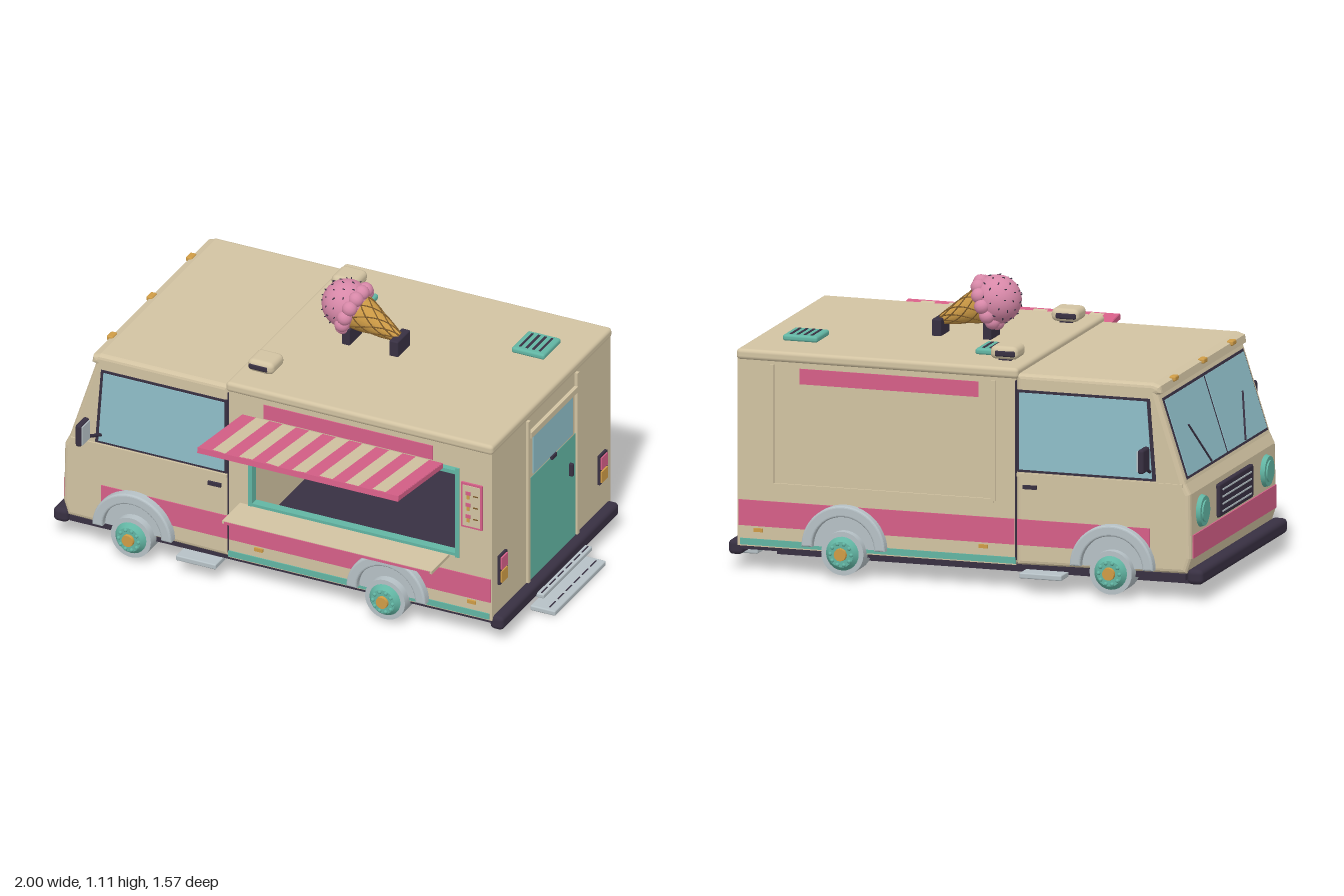
import * as THREE from 'three';
import { RoundedBoxGeometry } from 'three/addons/geometries/RoundedBoxGeometry.js';

const paint = (name, color) => Object.assign(new THREE.MeshStandardMaterial({ color }), { name });
const cream = paint('cream', 0xd2c3a2), pink = paint('pink', 0xd65f88), teal = paint('teal', 0x62b5a3),
  dark = paint('dark plum', 0x383042), grey = paint('light grey', 0xb6c1c6), glass = paint('window blue', 0x8fbfc9),
  amber = paint('amber', 0xcf9c46), brown = paint('waffle brown', 0x7d5a2a), scoopPink = paint('scoop pink', 0xd788a8);
const W = 0.51; // half width of the body

export function createModel() {
  const root = new THREE.Group();
  const van = new THREE.Group();
  van.name = 'van';
  van.position.z = -0.11;
  root.add(van);

  const add = (name, geo, mat, x = 0, y = 0, z = 0, parent = van) => {
    const m = new THREE.Mesh(geo, mat);
    m.name = name;
    m.position.set(x, y, z);
    parent.add(m);
    return m;
  };
  // Box given by its limits, optionally rounded
  const box = (name, mat, x0, x1, y0, y1, z0, z1, r = 0, parent = van) => {
    const s = [x1 - x0, y1 - y0, z1 - z0];
    const g = r ? new RoundedBoxGeometry(...s, 2, r) : new THREE.BoxGeometry(...s);
    return add(name, g, mat, (x0 + x1) / 2, (y0 + y1) / 2, (z0 + z1) / 2, parent);
  };
  const poly = (pts) => new THREE.Shape(pts.map(([x, y]) => new THREE.Vector2(x, y)));
  // Shape in x/y, extruded and centred on z
  const slab = (name, mat, shape, depth, z, bevel = 0) => {
    const g = new THREE.ExtrudeGeometry(shape, {
      depth: depth - 2 * bevel, bevelEnabled: bevel > 0, bevelSize: bevel, bevelThickness: bevel,
      bevelOffset: -bevel, bevelSegments: 3, curveSegments: 24,
    });
    g.translate(0, 0, -depth / 2 + bevel);
    return add(name, g, mat, 0, 0, z);
  };
  const rod = (name, mat, a, b, r, parent = van) => {
    const p = new THREE.Vector3(...a), q = new THREE.Vector3(...b);
    const m = add(name, new THREE.CylinderGeometry(r, r, p.distanceTo(q), 8), mat, 0, 0, 0, parent);
    m.position.copy(p).add(q).multiplyScalar(0.5);
    m.quaternion.setFromUnitVectors(new THREE.Vector3(0, 1, 0), q.sub(p).normalize());
    return m;
  };

  // Cab
  slab('cab', cream, poly([[-0.25, 0.1], [-0.25, 0.845], [-0.8, 0.845], [-0.83, 0.835], [-0.835, 0.805],
    [-0.82, 0.8], [-0.93, 0.46], [-0.95, 0.42], [-0.955, 0.17], [-0.935, 0.11]]), 2 * W, 0, 0.018);

  // Cargo body: one wall has the serving hatch
  const wall = poly([[-0.25, 0.1], [0.87, 0.1], [0.87, 0.83], [-0.25, 0.83]]);
  wall.holes.push(poly([[-0.16, 0.345], [-0.16, 0.735], [0.73, 0.735], [0.73, 0.345]]));
  slab('hatchWall', cream, wall, 0.03, W - 0.015);
  box('plainWall', cream, -0.25, 0.87, 0.1, 0.83, -W, -W + 0.03);
  box('rearWall', cream, 0.84, 0.87, 0.1, 0.83, -W, W);
  box('roof', cream, -0.26, 0.875, 0.825, 0.867, -W - 0.008, W + 0.008, 0.015);
  box('floor', dark, -0.93, 0.86, 0.085, 0.108, -0.5, 0.5);

  // Both flanks
  for (const s of [1, -1]) {
    const strip = (name, mat, x0, x1, y0, y1, t = 0.004, z = W) =>
      box(name, mat, x0, x1, y0, y1, s * z - t, s * z + t);
    strip('cabStripe', pink, -0.79, -0.255, 0.18, 0.28);
    strip('sideStripe', pink, -0.245, 0.865, 0.18, 0.28);
    strip('tealSkirt', teal, -0.25, 0.86, 0.105, 0.13);
    strip('upperStripe', pink, -0.1, 0.62, 0.745, 0.805);
    strip('windowMoulding', cream, -0.92, -0.255, 0.447, 0.46, 0.006);
    strip('doorSeam', dark, -0.253, -0.247, 0.12, 0.82, 0.003);
    strip('doorHandle', dark, -0.335, -0.28, 0.4, 0.415, 0.01);
    for (const x of [-0.12, 0.785]) strip('sideMarker', amber, x - 0.018, x + 0.018, 0.158, 0.172, 0.008);
    box('sideStep', grey, -0.45, -0.28, 0.06, 0.082, s > 0 ? 0.47 : -0.56, s > 0 ? 0.56 : -0.47, 0.005);

    // Cab side window
    slab('cabWindowFrame', dark, poly([[-0.815, 0.465], [-0.255, 0.465], [-0.255, 0.785], [-0.79, 0.785]]), 0.008, s * W);
    slab('cabWindow', glass, poly([[-0.8, 0.475], [-0.265, 0.475], [-0.265, 0.775], [-0.778, 0.775]]), 0.009, s * (W + 0.003));

    // Wheels and fenders
    for (const x of [-0.645, 0.435]) {
      const well = new THREE.Shape().absarc(0, 0, 0.14, 0, Math.PI);
      const arch = new THREE.Shape().absarc(0, 0, 0.168, 0, Math.PI);
      arch.absarc(0, 0, 0.125, Math.PI, 0, true);
      slab('wheelWell', grey, well, 0.016, s * W).position.set(x, 0.12, s * W);
      slab('fender', grey, arch, 0.045, s * W, 0.008).position.set(x, 0.12, s * (W + 0.015));
      const wheel = new THREE.Group();
      wheel.name = 'wheel';
      wheel.position.set(x, 0.105, s * 0.5);
      wheel.rotation.x = s * Math.PI / 2;
      van.add(wheel);
      add('tyre', new THREE.CylinderGeometry(0.085, 0.085, 0.1, 32), grey, 0, 0, 0, wheel);
      add('hub', new THREE.CylinderGeometry(0.05, 0.066, 0.02, 24), teal, 0, 0.06, 0, wheel);
      add('hubCap', new THREE.CylinderGeometry(0.024, 0.026, 0.018, 16), amber, 0, 0.073, 0, wheel);
      for (let i = 0; i < 10; i++) {
        const a = i * Math.PI / 5;
        add('wheelNut', new THREE.SphereGeometry(0.008, 8, 6), teal, 0.042 * Math.cos(a), 0.07, 0.042 * Math.sin(a), wheel);
      }
    }

    // Mirror on its arm
    rod('mirrorArm', dark, [-0.79, 0.5, s * W], [-0.8, 0.545, s * 0.62], 0.007);
    box('mirrorHousing', dark, -0.82, -0.795, 0.525, 0.62, s * 0.638 - 0.04, s * 0.638 + 0.04, 0.01);
    box('mirrorGlass', grey, -0.798, -0.791, 0.533, 0.612, s * 0.638 - 0.033, s * 0.638 + 0.033);

    // Lamps front and rear, roof lamps
    const lamp = add('headlightRing', new THREE.CylinderGeometry(0.058, 0.064, 0.02, 28), teal, -0.958, 0.335, s * 0.38);
    lamp.rotation.z = Math.PI / 2;
    add('headlight', new THREE.CylinderGeometry(0.042, 0.042, 0.024, 28), teal, -0.962, 0.335, s * 0.38).rotation.z = Math.PI / 2;
    box('tailLampFrame', dark, 0.868, 0.88, 0.235, 0.36, s * 0.43 - 0.032, s * 0.43 + 0.032);
    box('brakeLamp', pink, 0.872, 0.886, 0.3, 0.352, s * 0.43 - 0.025, s * 0.43 + 0.025);
    box('turnLamp', amber, 0.872, 0.886, 0.243, 0.292, s * 0.43 - 0.025, s * 0.43 + 0.025);
    box('roofLamp', cream, -0.222, -0.11, 0.873, 0.925, s * 0.36 - 0.055, s * 0.36 + 0.055, 0.022);
    box('roofLampLens', dark, -0.213, -0.13, 0.885, 0.91, s * 0.36 - 0.057, s * 0.36 + 0.057, 0.008);
    box('roofLampFoot', dark, -0.19, -0.14, 0.86, 0.88, s * 0.36 - 0.03, s * 0.36 + 0.03);
    box('chassisRail', dark, -0.88, 0.78, 0.03, 0.088, s * 0.285 - 0.022, s * 0.285 + 0.022);
  }
  for (const x of [-0.6, -0.1, 0.4]) box('crossRail', dark, x - 0.015, x + 0.015, 0.06, 0.09, -0.285, 0.285);

  // Windscreen, laid along the slope
  const screen = new THREE.Group();
  screen.name = 'windscreen';
  screen.position.set(-0.875, 0.63, 0);
  screen.rotation.z = -Math.atan2(0.11, 0.34);
  van.add(screen);
  box('screenFrame', dark, -0.004, 0.004, -0.165, 0.16, -0.475, 0.475, 0, screen);
  for (const s of [1, -1]) {
    box('screenGlass', glass, -0.007, 0.002, -0.155, 0.15, s * 0.237 - 0.228, s * 0.237 + 0.228, 0, screen);
    rod('wiper', dark, [-0.012, -0.15, s * 0.2], [-0.012, 0.02, s * 0.32], 0.004, screen);
  }
  for (const z of [-0.34, 0, 0.34]) box('roofMarker', amber, -0.842, -0.815, 0.825, 0.845, z - 0.022, z + 0.022, 0.006);

  // Nose and bumpers
  box('noseStripe', pink, -0.959, -0.95, 0.17, 0.26, -0.49, 0.49);
  box('grille', dark, -0.966, -0.945, 0.27, 0.4, -0.2, 0.2, 0.008);
  for (let i = 0; i < 4; i++) box('grilleSlat', grey, -0.969, -0.96, 0.288 + i * 0.028, 0.294 + i * 0.028, -0.17, 0.17);
  box('frontBumper', dark, -1, -0.935, 0.07, 0.13, -W, W, 0.02);
  box('rearBumper', dark, 0.855, 0.912, 0.06, 0.118, -W + 0.005, W - 0.005, 0.018);

  // Rear door and steps
  for (const s of [1, -1]) box('doorPost', cream, 0.868, 0.882, 0.12, 0.825, s * 0.21 - 0.008, s * 0.21 + 0.008);
  box('doorHeader', cream, 0.868, 0.885, 0.745, 0.77, -0.2, 0.2);
  box('rearDoor', teal, 0.866, 0.876, 0.12, 0.565, -0.198, 0.198);
  box('rearWindowFrame', cream, 0.866, 0.875, 0.565, 0.748, -0.19, 0.19);
  box('rearWindow', glass, 0.87, 0.879, 0.575, 0.738, -0.17, 0.17);
  box('rearLatch', dark, 0.872, 0.885, 0.56, 0.575, -0.02, 0.02);
  box('rearHandle', dark, 0.873, 0.892, 0.405, 0.46, -0.155, -0.14, 0.005);
  box('upperStep', grey, 0.84, 0.942, 0.062, 0.08, -0.21, 0.21, 0.005);
  box('lowerStep', grey, 0.888, 0.995, 0.004, 0.026, -0.22, 0.22, 0.006);
  for (let i = 0; i < 6; i++) {
    const z = -0.175 + i * 0.07;
    box('stepTread', dark, 0.925, 0.93, 0.079, 0.082, z - 0.025, z + 0.025);
    box('stepTread', dark, 0.96, 0.965, 0.025, 0.028, z - 0.025, z + 0.025);
  }

  // Serving hatch: trim, shelf, menu board
  for (const x of [-0.155, 0.725]) box('hatchTrim', teal, x - 0.008, x + 0.008, 0.345, 0.735, W - 0.03, W + 0.008);
  box('hatchSill', teal, -0.16, 0.73, 0.35, 0.362, W - 0.03, W + 0.006);
  box('shelf', cream, -0.2, 0.69, 0.338, 0.35, W - 0.02, 0.665);
  box('shelfEdge', pink, -0.19, 0.68, 0.338, 0.348, 0.663, 0.668);
  box('menuFrame', pink, 0.742, 0.832, 0.488, 0.682, W, W + 0.008);
  box('menuBoard', cream, 0.75, 0.824, 0.497, 0.673, W + 0.002, W + 0.011);
  for (let i = 0; i < 3; i++) {
    const y = 0.53 + i * 0.05;
    box('menuCone', amber, 0.768, 0.78, y - 0.014, y + 0.003, W + 0.008, W + 0.014);
    box('menuScoop', pink, 0.764, 0.784, y + 0.003, y + 0.018, W + 0.008, W + 0.014);
    box('menuLine', brown, 0.795, 0.815, y, y + 0.005, W + 0.008, W + 0.013);
  }

  // Blank panel border on the far wall
  for (const x of [-0.16, 0.73]) box('panelBorder', cream, x - 0.008, x + 0.008, 0.345, 0.815, -W - 0.008, -W);
  box('panelBorder', cream, -0.16, 0.73, 0.337, 0.353, -W - 0.008, -W);

  // Striped awning
  const awning = new THREE.Group();
  awning.name = 'awning';
  awning.position.set(0.235, 0.73, W);
  awning.rotation.x = -0.13;
  van.add(awning);
  box('awningBoard', cream, -0.42, 0.42, -0.009, 0.004, 0, 0.38, 0, awning);
  for (let i = 0; i < 15; i++) {
    const x = -0.425 + i * 0.85 / 15;
    box('awningStripe', i % 2 ? cream : pink, x, x + 0.85 / 15, 0.003, 0.009, 0, 0.384, 0, awning);
  }
  for (const s of [1, -1]) box('awningEdge', pink, s * 0.422 - 0.005, s * 0.422 + 0.005, -0.012, 0.008, 0, 0.385, 0, awning);
  box('awningLip', pink, -0.427, 0.427, -0.014, 0.009, 0.378, 0.388, 0, awning);

  // Counter inside with a drinks machine and sample cones
  box('counter', teal, -0.03, 0.62, 0.362, 0.378, -0.17, -0.03);
  box('machine', dark, -0.16, -0.09, 0.36, 0.52, -0.17, -0.03, 0.015);
  [0, 0, 1, 2, 3].forEach((scoops, i) => {
    const x = 0.035 + i * 0.105;
    add('sampleCone', new THREE.CylinderGeometry(0.018, 0.008, 0.045, 12), i ? amber : grey, x, 0.402, -0.1);
    for (let k = 0; k < scoops; k++) {
      add('sampleScoop', new THREE.SphereGeometry(0.023, 14, 10), [scoopPink, cream, dark][k], x, 0.438 + k * 0.03, -0.1);
    }
  });

  // Roof vents
  for (const x of [-0.09, 0.685]) {
    box('vent', teal, x - 0.07, x + 0.07, 0.865, 0.89, -0.32, -0.17, 0.01);
    for (let i = 0; i < 4; i++) {
      const sx = x - 0.042 + i * 0.028;
      box('ventSlot', dark, sx - 0.005, sx + 0.005, 0.885, 0.892, -0.3, -0.19);
    }
  }

  // Rooftop ice cream lying on two cradles
  box('scoopCradle', dark, 0.005, 0.04, 0.86, 0.935, -0.055, 0.055, 0.006);
  box('coneCradle', dark, 0.207, 0.245, 0.86, 0.932, -0.055, 0.055, 0.006);
  const ice = new THREE.Group();
  ice.name = 'iceCream';
  ice.position.set(0, 1.015, 0);
  ice.rotation.z = 1.17;
  van.add(ice);
  add('scoop', new THREE.SphereGeometry(0.095, 32, 24), scoopPink, 0, 0, 0, ice);
  const coneRadius = (t) => 0.078 - 0.06 * t;
  add('waffleCone', new THREE.CylinderGeometry(coneRadius(0), coneRadius(1), 0.2, 28), amber, 0, -0.14, 0, ice);
  for (let i = 0; i < 16; i++) {
    const dir = i % 2 ? 1 : -1, pts = [];
    for (let k = 0; k <= 10; k++) {
      const t = k / 10, a = i * Math.PI / 8 + dir * t * 1.9, r = coneRadius(t) + 0.001;
      pts.push(new THREE.Vector3(r * Math.cos(a), -0.04 - 0.2 * t, r * Math.sin(a)));
    }
    add('waffleRidge', new THREE.TubeGeometry(new THREE.CatmullRomCurve3(pts), 16, 0.0025, 5), brown, 0, 0, 0, ice);
  }
  for (let i = 0; i < 12; i++) {
    const a = i * Math.PI / 6;
    add('scoopDrip', new THREE.SphereGeometry(0.03, 14, 10), scoopPink, 0.083 * Math.cos(a), -0.035, 0.083 * Math.sin(a), ice);
  }
  for (let i = 0; i < 45; i++) {
    const y = 1 - i * 1.15 / 45, r = Math.sqrt(1 - y * y), a = i * 2.4;
    const p = new THREE.Vector3(r * Math.cos(a), y, r * Math.sin(a)).multiplyScalar(0.096);
    const m = add('sprinkle', new THREE.CapsuleGeometry(0.0025, 0.008, 2, 6), dark, p.x, p.y, p.z, ice);
    m.rotation.set(a, i * 1.7, a * 2);
  }
  return root;
}
